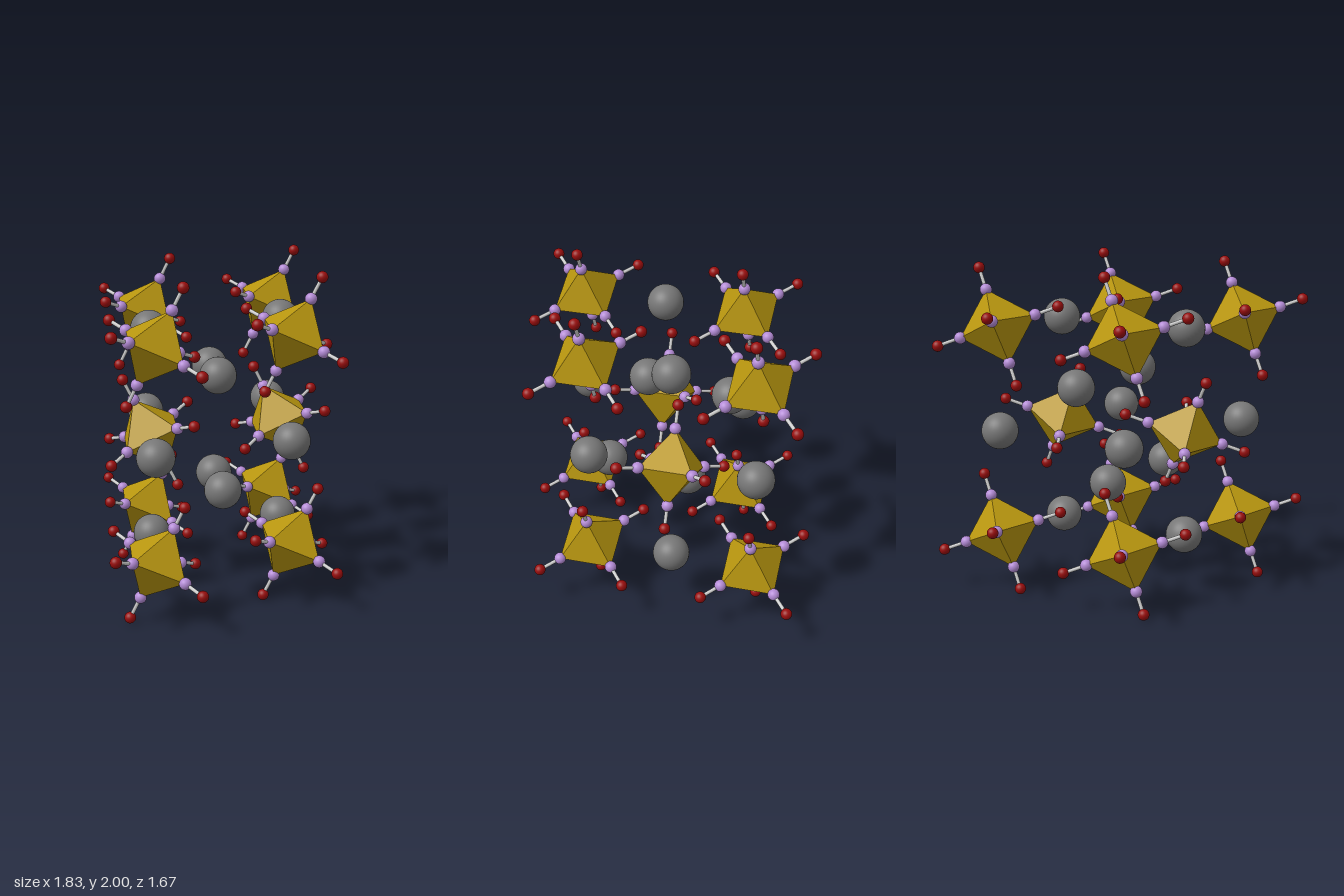
import * as THREE from 'three';

const V = (x, y, z) => new THREE.Vector3(x, y, z);
const mat = (color) => new THREE.MeshStandardMaterial({ color });

const MAT = {
  octahedron: mat(0xb8960f),
  inner: mat(0xb48bd6),
  outer: mat(0x990d0d),
  bond: mat(0xcccccc),
  ion: mat(0x777777),
};

// Half-axes of one octahedron, and where the outer atom on each axis sits
const AXES = [V(0.095, 0.207, 0.027), V(-0.19, 0.068, 0.112), V(0.095, -0.068, 0.198)];
const TIPS = [V(0.154, 0.331, 0.046), V(-0.309, 0.117, 0.176), V(0.151, -0.107, 0.321)];

const innerGeo = new THREE.SphereGeometry(0.036, 24, 16);
const outerGeo = new THREE.SphereGeometry(0.034, 24, 16);
const ionGeo = new THREE.SphereGeometry(0.111, 32, 24);
const octaGeo = new THREE.OctahedronGeometry(1)
  .applyMatrix4(new THREE.Matrix4().makeBasis(...AXES));

function add(parent, name, geometry, material, position) {
  const mesh = new THREE.Mesh(geometry, material);
  mesh.name = name;
  if (position) mesh.position.copy(position);
  parent.add(mesh);
  return mesh;
}

// Rod between two points
function addBond(parent, a, b) {
  const dir = b.clone().sub(a);
  const geo = new THREE.CylinderGeometry(0.011, 0.011, dir.length(), 12);
  const rod = add(parent, 'bond', geo, MAT.bond, a.clone().lerp(b, 0.5));
  rod.quaternion.setFromUnitVectors(V(0, 1, 0), dir.normalize());
}

// Octahedron with an inner atom on each corner, bonded to an outer atom
function createUnit(position, turned) {
  const unit = new THREE.Group();
  unit.name = 'octahedralUnit';
  add(unit, 'octahedron', octaGeo, MAT.octahedron);
  AXES.forEach((axis, i) => {
    for (const s of [1, -1]) {
      const a = axis.clone().multiplyScalar(s);
      const b = TIPS[i].clone().multiplyScalar(s);
      add(unit, 'innerAtom', innerGeo, MAT.inner, a);
      add(unit, 'outerAtom', outerGeo, MAT.outer, b);
      addBond(unit, a, b);
    }
  });
  unit.position.copy(position);
  if (turned) unit.rotation.y = Math.PI;
  return unit;
}

export function createModel() {
  const model = new THREE.Group();
  model.name = 'crystalCell';
  const midY = 1, layer = 0.633, halfA = 0.425, skew = 0.148, halfC = 0.4815;

  for (const sx of [-1, 1]) {
    // Turned units at the middle of two cell faces
    model.add(createUnit(V(sx * halfA, midY, 0), true));

    for (const s of [-1, 1]) {
      // Ions above and below the turned units
      add(model, 'ion', ionGeo, MAT.ion, V(sx * halfA, midY + s * layer, 0));

      // Upright cell edges: a unit at each end, an ion halfway
      const x = sx * halfA - s * skew, z = s * halfC;
      add(model, 'ion', ionGeo, MAT.ion, V(x, midY, z));
      for (const sy of [-1, 1]) model.add(createUnit(V(x, midY + sy * layer, z), false));
    }
  }

  // Ions inside the cell, in pairs through its centre
  for (const p of [V(-0.037, 0.342, 0.12), V(0.11, 0.289, -0.363)]) {
    for (const s of [-1, 1]) {
      add(model, 'innerIon', ionGeo, MAT.ion, p.clone().multiplyScalar(s).add(V(0, midY, 0)));
    }
  }
  return model;
}
